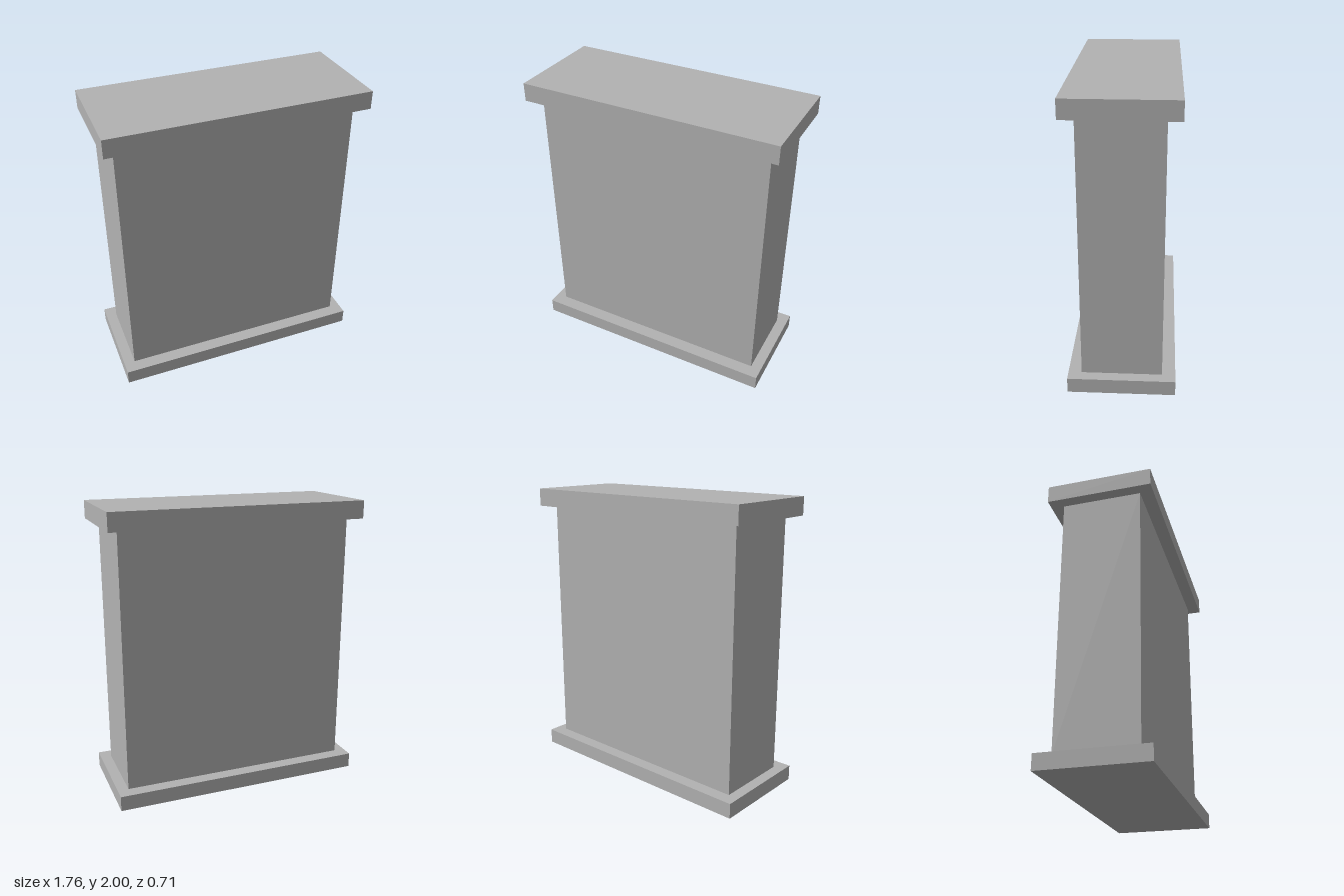
import * as THREE from 'three';

export function createModel() {
  const group = new THREE.Group();
  const stone = new THREE.MeshStandardMaterial({ color: 0xb2b2b2 });
  stone.name = 'grey stone';

  // Box slab spanning y0 to y1, centred on the vertical axis
  const addBlock = (name, width, depth, y0, y1) => {
    const mesh = new THREE.Mesh(new THREE.BoxGeometry(width, y1 - y0, depth), stone);
    mesh.name = name;
    mesh.position.y = (y0 + y1) / 2;
    group.add(mesh);
  };

  addBlock('basePlinth', 1.764, 0.714, 0, 0.105);
  addBlock('pierBody', 1.614, 0.536, 0.105, 1.877);
  addBlock('capSlab', 1.764, 0.714, 1.877, 2);

  return group;
}
